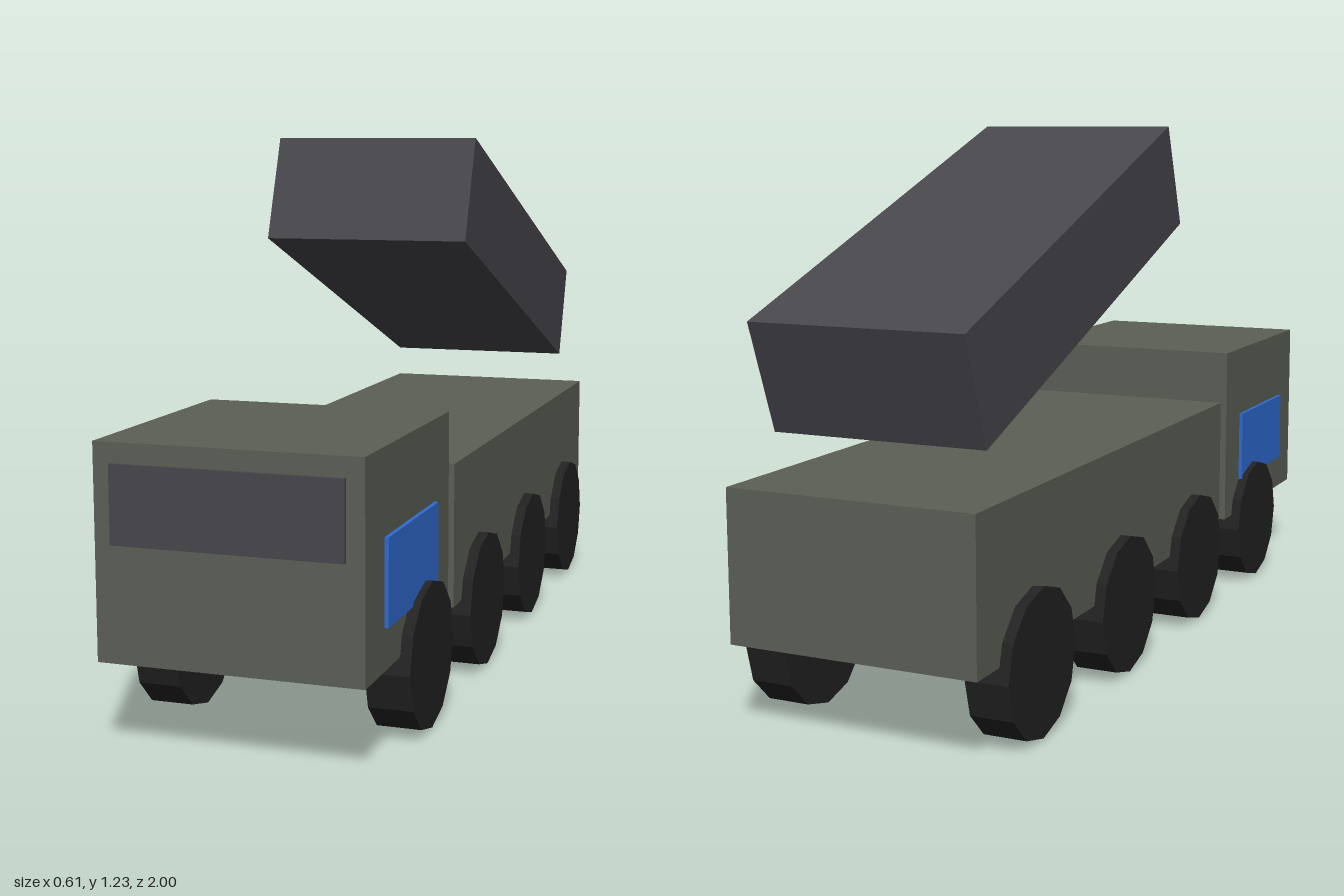
import * as THREE from 'three';

const mat = (name, color) => {
  const m = new THREE.MeshStandardMaterial({ color, flatShading: true });
  m.name = name;
  return m;
};

export function createModel() {
  const truck = new THREE.Group();
  truck.name = 'launcherTruck';
  const hull = mat('olive grey', 0x5c5f56);
  const dark = mat('dark grey', 0x47464c);
  const blue = mat('blue', 0x2e6bd0);
  const rubber = mat('black rubber', 0x222222);

  // Box given by its centre and size
  const box = (name, material, [w, h, d], [x, y, z]) => {
    const m = new THREE.Mesh(new THREE.BoxGeometry(w, h, d), material);
    m.name = name;
    m.position.set(x, y, z);
    truck.add(m);
    return m;
  };

  // Cab and separate rear bed
  box('cab', hull, [0.56, 0.445, 0.565], [0, 0.417, 0.708]);
  box('bed', hull, [0.56, 0.325, 1.38], [0, 0.353, -0.31]);

  // Windscreen and side panels
  box('windscreen', dark, [0.485, 0.162, 0.009], [0, 0.517, 0.9955]);
  for (const side of [1, -1]) {
    box(side > 0 ? 'leftDoorPanel' : 'rightDoorPanel', blue,
      [0.009, 0.18, 0.342], [side * 0.2845, 0.373, 0.706]);
  }

  // Raised box, tilted up towards the cab
  const launcher = box('raisedBox', dark, [0.485, 0.25, 1.112], [0, 0.918, -0.4]);
  launcher.rotation.x = -THREE.MathUtils.degToRad(20);

  // Four axles of twelve-sided wheels
  const wheelGeo = new THREE.CylinderGeometry(0.158, 0.158, 0.096, 12).rotateZ(Math.PI / 2);
  for (let i = 0; i < 4; i++) {
    for (const side of [1, -1]) {
      const wheel = new THREE.Mesh(wheelGeo, rubber);
      wheel.name = `${side > 0 ? 'left' : 'right'}Wheel${i + 1}`;
      wheel.position.set(side * 0.256, 0.158, 0.627 - i * 0.461);
      truck.add(wheel);
    }
  }
  return truck;
}
